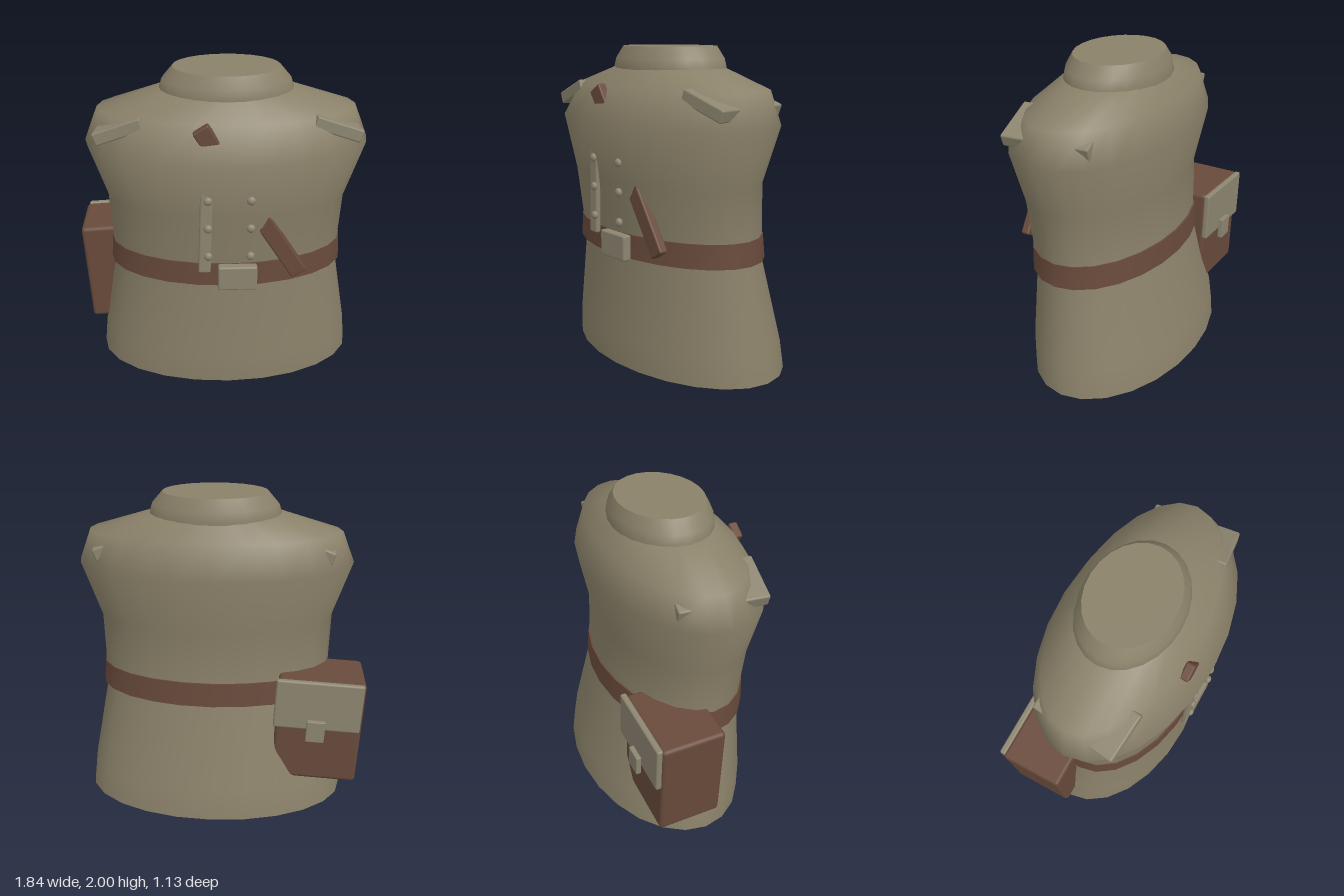
import * as THREE from 'three';
import { RoundedBoxGeometry } from 'three/addons/geometries/RoundedBoxGeometry.js';

const CX = 0.04; // centre line of the torso

function material(name, color) {
  const m = new THREE.MeshStandardMaterial({ color });
  m.name = name;
  return m;
}

// Capped solid through elliptical rings [y, half width, front z, back z]
function loft(rings, segments = 24) {
  const pos = [], index = [];
  const addRing = ([y, rx, zf, zb]) => {
    const start = pos.length / 3;
    for (let i = 0; i < segments; i++) {
      const a = (i / segments) * Math.PI * 2;
      pos.push(CX + rx * Math.sin(a), y, (zf + zb) / 2 + ((zf - zb) / 2) * Math.cos(a));
    }
    return start;
  };
  const starts = rings.map(addRing);
  for (let r = 0; r < rings.length - 1; r++) {
    for (let i = 0; i < segments; i++) {
      const j = (i + 1) % segments;
      const a = starts[r] + i, b = starts[r] + j, c = starts[r + 1] + j, d = starts[r + 1] + i;
      index.push(a, b, c, a, c, d);
    }
  }
  // separate cap vertices keep the rims sharp
  const bottom = addRing(rings[0]), top = addRing(rings[rings.length - 1]);
  for (let i = 1; i < segments - 1; i++) {
    index.push(bottom, bottom + i + 1, bottom + i, top, top + i, top + i + 1);
  }
  const geo = new THREE.BufferGeometry();
  geo.setAttribute('position', new THREE.Float32BufferAttribute(pos, 3));
  geo.setIndex(index);
  geo.computeVertexNormals();
  return geo;
}

export function createModel() {
  const model = new THREE.Group();
  model.name = 'uniformTorso';

  const cloth = material('khaki cloth', 0x8a8169);
  const leather = material('brown leather', 0x684a3b);
  const trim = material('pale khaki trim', 0x8c8570);

  const add = (name, geo, mat, parent = model) => {
    const mesh = new THREE.Mesh(geo, mat);
    mesh.name = name;
    parent.add(mesh);
    return mesh;
  };
  const box = (name, size, at, mat, parent, radius = 0.012) => {
    const mesh = add(name, new RoundedBoxGeometry(...size, 2, radius), mat, parent);
    mesh.position.set(...at);
    return mesh;
  };

  // Tunic
  add('tunic', loft([
    [0, 0.85, 0.48, -0.562],
    [0.18, 0.83, 0.487, -0.54],
    [0.73, 0.73, 0.455, -0.4],
    [0.9, 0.742, 0.475, -0.39],
    [1.2, 0.755, 0.515, -0.38],
    [1.55, 0.877, 0.565, -0.445],
    [1.755, 0.797, 0.437, -0.372],
    [1.87, 0.41, 0.32, -0.265],
  ]), cloth);

  // Collar
  add('collar', loft([
    [1.82, 0.415, 0.33, -0.283],
    [1.87, 0.413, 0.33, -0.283],
    [1.925, 0.395, 0.322, -0.275],
    [2.0, 0.33, 0.287, -0.243],
  ]), cloth);

  // Belt and its buckle
  add('belt', loft([
    [0.73, 0.757, 0.485, -0.415],
    [0.88, 0.745, 0.482, -0.402],
  ]), leather);
  box('beltBuckle', [0.24, 0.16, 0.06], [0.09, 0.8, 0.5], trim);

  // Chest strap, partly sunk in the tunic
  const strap = box('chestStrap', [0.107, 1.12, 0.058], [0.17, 1.278, 0.461], leather);
  strap.rotation.z = 0.568;

  // Shoulder boards
  for (const side of [-1, 1]) {
    const board = box(side < 0 ? 'rightShoulderBoard' : 'leftShoulderBoard',
      [0.31, 0.08, 0.545], [CX + side * 0.62, 1.688, 0.075], trim);
    board.rotation.set(0, side * 0.12, -side * 0.35, 'YXZ');
  }

  // Front placket and two rows of buttons
  const placket = box('placket', [0.075, 0.56, 0.035], [-0.105, 1.125, 0.51], trim);
  placket.rotation.z = -0.03;
  const buttonGeo = new THREE.SphereGeometry(0.027, 12, 8).scale(1, 1, 0.75);
  for (const x of [-0.09, 0.165]) {
    for (const y of [0.96, 1.145, 1.325]) {
      add('button', buttonGeo, trim).position.set(x, y, 0.528);
    }
  }

  // Hip pouch with flap and clasp
  const pouch = new THREE.Group();
  pouch.name = 'hipPouch';
  pouch.position.set(-0.63, 0.575, 0);
  pouch.rotation.z = 0.06;
  model.add(pouch);
  box('pouchBody', [0.54, 0.68, 0.41], [0, 0, -0.2], leather, pouch, 0.025);
  box('pouchFlap', [0.54, 0.32, 0.04], [0.015, 0.185, -0.417], trim, pouch);
  box('pouchClasp', [0.115, 0.14, 0.035], [0.02, 0.025, -0.45], trim, pouch, 0.006);

  return model;
}
